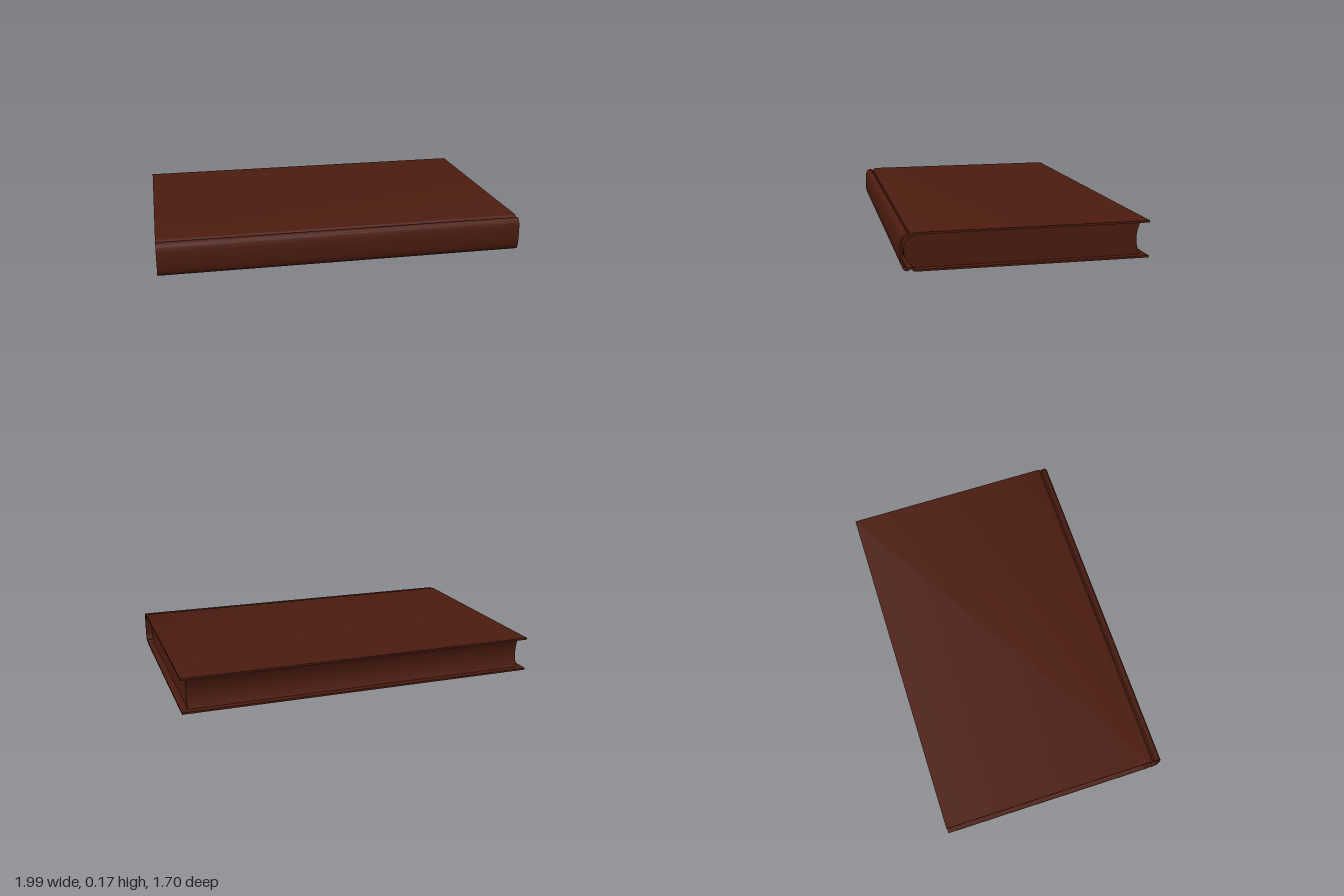
import * as THREE from 'three';
import { toCreasedNormals } from 'three/addons/utils/BufferGeometryUtils.js';

const LENGTH = 1.695, HALF = 0.5425, HEIGHT = 0.165, BOARD = 0.009, INSET = 0.03;
const MID = HEIGHT / 2;

// Extrudes a cross-section (across the book, height) along the book's length.
function extrudeAlong(shape, length) {
  const geo = new THREE.ExtrudeGeometry(shape, { depth: length, bevelEnabled: false, curveSegments: 12 });
  geo.translate(0, 0, -length / 2);
  geo.rotateY(-Math.PI / 2);
  return toCreasedNormals(geo, 0.6);
}

// Upper half of the case, from fore-edge to the middle of the spine; h is measured from mid height.
const outerHalf = [
  [-HALF, MID], [0.482, MID], [0.490, MID - 0.003], [0.497, MID - 0.011], [0.503, MID - 0.011],
  [0.509, MID - 0.005], [0.517, MID - 0.004], [0.526, MID - 0.008], [0.533, MID - 0.016],
  [0.538, MID - 0.028], [0.541, MID - 0.048], [HALF, 0],
];
const innerHalf = [
  [-HALF, MID - BOARD], [0.481, MID - BOARD], [0.492, MID - 0.019], [0.506, MID - 0.019],
  [0.516, MID - 0.016], [0.524, MID - 0.022], [0.530, MID - 0.036], [0.533, 0],
];

// Mirrors a half profile about mid height to run from the top board to the bottom board.
function fullProfile(half) {
  const lower = half.slice(0, -1).reverse().map(([u, h]) => [u, -h]);
  return [...half, ...lower].map(([u, h]) => new THREE.Vector2(u, h + MID));
}

export function createModel() {
  const book = new THREE.Group();
  book.name = 'book';
  const leather = new THREE.MeshStandardMaterial({ color: 0x4d1c10 });

  const add = (name, geometry) => {
    const mesh = new THREE.Mesh(geometry, leather);
    mesh.name = name;
    book.add(mesh);
  };

  // Case: two boards, hinge grooves and rounded spine as one shell
  const caseShape = new THREE.Shape([...fullProfile(outerHalf), ...fullProfile(innerHalf).reverse()]);
  add('cover', extrudeAlong(caseShape, LENGTH));

  // Page block: concave fore-edge, rounded back
  const top = HEIGHT - BOARD, fore = -HALF + INSET;
  const pages = new THREE.Shape();
  pages.moveTo(fore, BOARD);
  pages.lineTo(0.481, BOARD);
  pages.lineTo(0.492, 0.019);
  pages.bezierCurveTo(0.535, 0.035, 0.535, HEIGHT - 0.035, 0.492, HEIGHT - 0.019);
  pages.lineTo(0.481, top);
  pages.lineTo(fore, top);
  pages.quadraticCurveTo(fore + 0.036, MID, fore, BOARD);
  add('pages', extrudeAlong(pages, LENGTH - 2 * INSET));

  // The book lies turned on the ground
  book.rotation.y = -0.435;
  const model = new THREE.Group();
  model.name = 'closedBook';
  model.add(book);
  return model;
}
